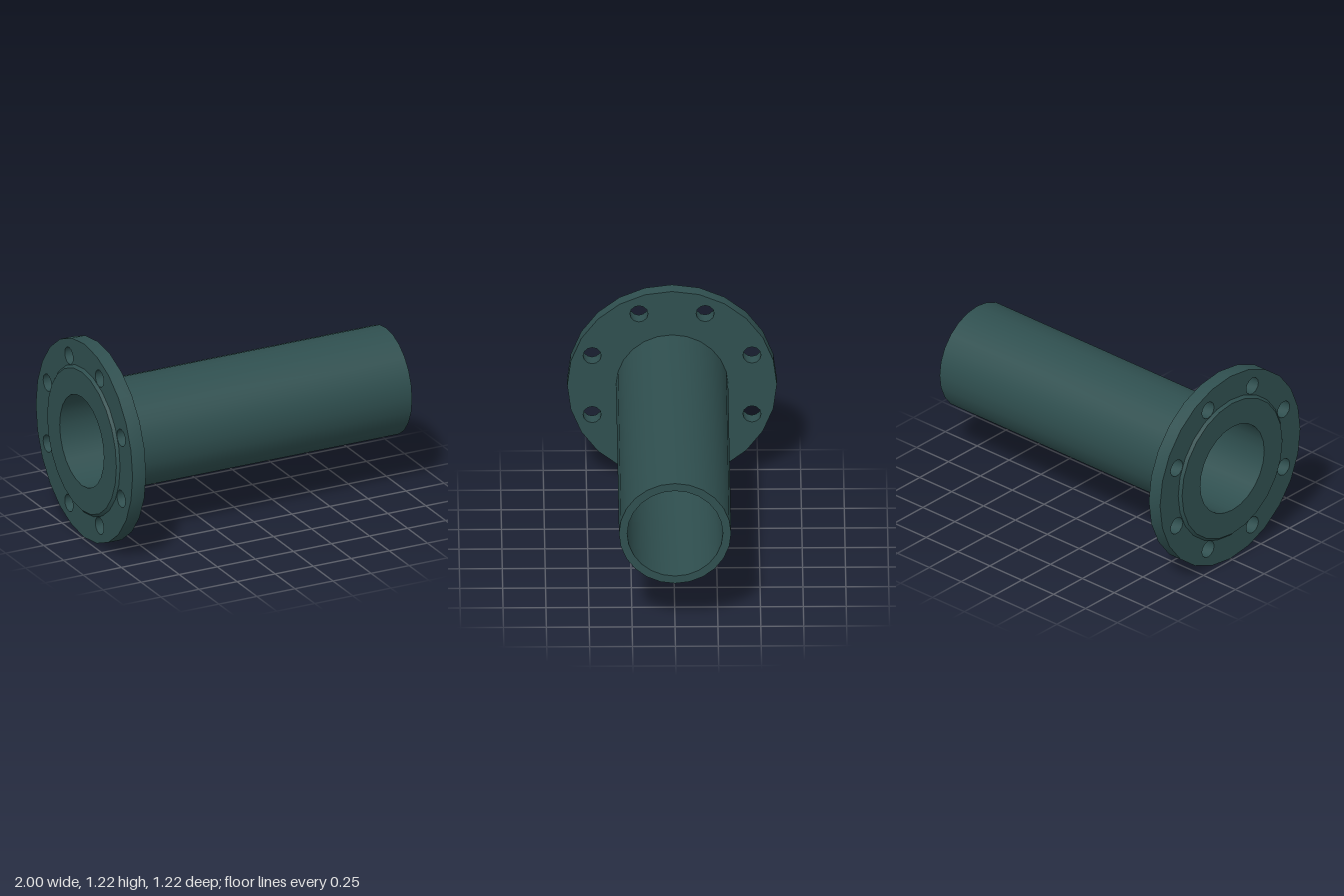
import * as THREE from 'three';
import { toCreasedNormals } from 'three/addons/utils/BufferGeometryUtils.js';

const SIDES = 24;
const AXIS_Y = 0.611;
const BORE = 0.279, PIPE = 0.327, FLANGE = 0.611;
const FACE_X = -1, FLANGE_X = -0.984, FLANGE_BACK = -0.896;

export function createModel() {
  const group = new THREE.Group();
  group.name = 'flangedPipe';
  const material = new THREE.MeshStandardMaterial({ color: 0x2f4f4f });

  const add = (name, geometry) => {
    const mesh = new THREE.Mesh(toCreasedNormals(geometry, 0.6), material);
    mesh.name = name;
    mesh.position.y = AXIS_Y;
    group.add(mesh);
  };

  // Revolve [radius, x] points around the x axis
  const revolve = (points) =>
    new THREE.LatheGeometry(points.map(([r, x]) => new THREE.Vector2(r, x)), SIDES).rotateZ(-Math.PI / 2);

  // Regular polygon outline
  const ring = (radius, sides, cx = 0, cy = 0) =>
    Array.from({ length: sides }, (_, i) => {
      const a = (i / sides) * Math.PI * 2;
      return new THREE.Vector2(cx + radius * Math.cos(a), cy + radius * Math.sin(a));
    });

  // Hollow pipe: outer wall, open end rim, bore
  add('pipe', revolve([[PIPE, FLANGE_X], [PIPE, 1], [BORE, 1], [BORE, FACE_X]]));

  // Raised sealing face with chamfered edge
  add('raisedFace', revolve([[BORE, FACE_X], [0.437, FACE_X], [0.453, FLANGE_X]]));

  // Flange disc with eight bolt holes
  const disc = new THREE.Shape(ring(FLANGE, SIDES));
  disc.holes.push(new THREE.Path(ring(PIPE, SIDES)));
  for (let i = 0; i < 8; i++) {
    const a = ((i + 0.5) / 8) * Math.PI * 2;
    disc.holes.push(new THREE.Path(ring(0.053, 12, 0.504 * Math.cos(a), 0.504 * Math.sin(a))));
  }
  const flange = new THREE.ExtrudeGeometry(disc, { depth: FLANGE_BACK - FLANGE_X, bevelEnabled: false });
  add('flange', flange.rotateY(Math.PI / 2).translate(FLANGE_X, 0, 0));

  return group;
}
